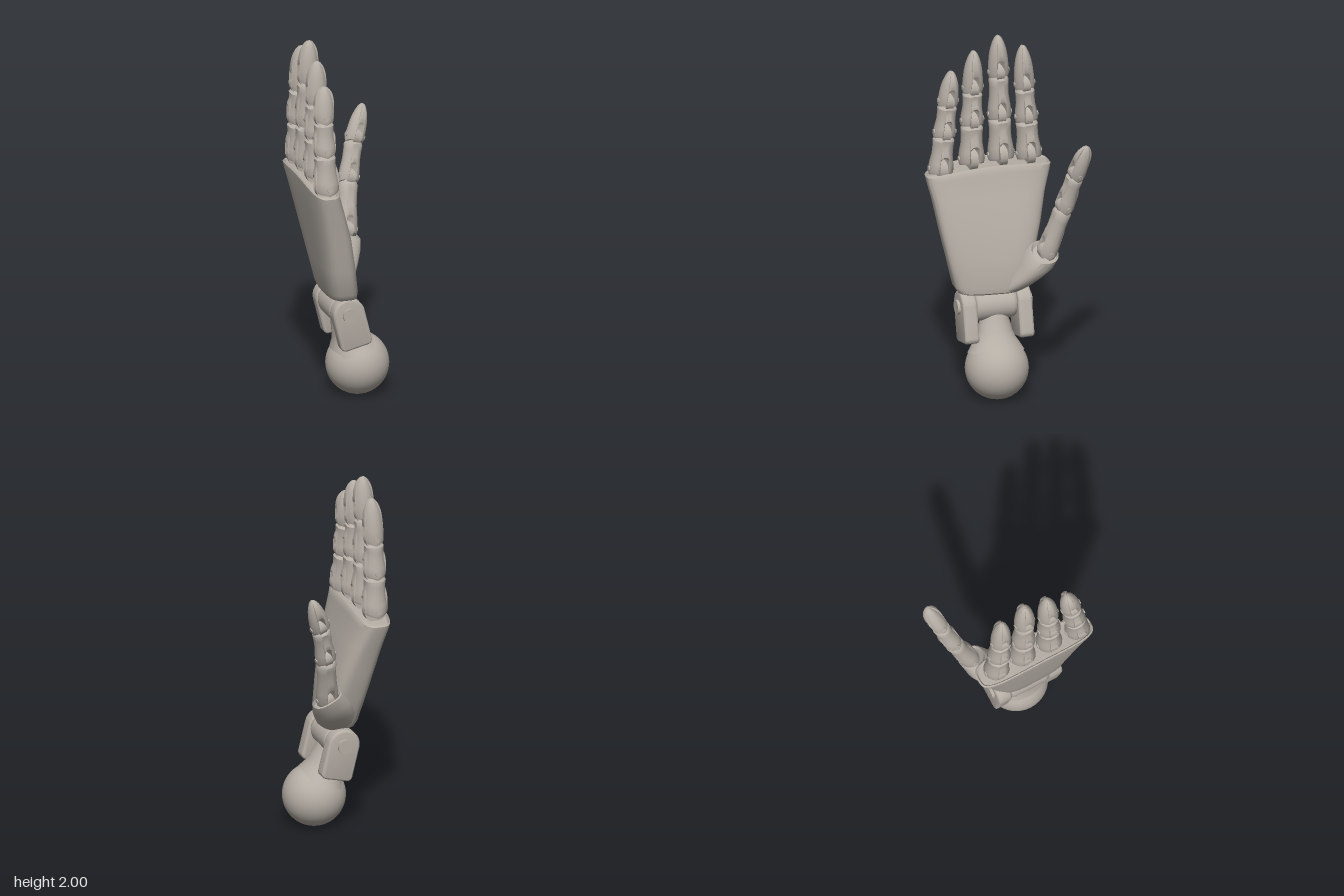
import * as THREE from 'three';
import { toCreasedNormals } from 'three/addons/utils/BufferGeometryUtils.js';

const shell = new THREE.MeshStandardMaterial({ color: 0xb5aea5, side: THREE.DoubleSide });
shell.name = 'warm grey';

const V = (x, y, z) => new THREE.Vector3(x, y, z);
const UP = V(0, 1, 0);

function mesh(name, geometry, parent) {
  const m = new THREE.Mesh(geometry, shell);
  m.name = name;
  parent.add(m);
  return m;
}

// Skin closed cross-sections; point(i, j) gives ring i, column j as [x, y, z]
function loft(rings, cols, point, crease = 0.7) {
  const pos = [], index = [];
  for (let i = 0; i < rings; i++) {
    for (let j = 0; j < cols; j++) {
      pos.push(...point(i, j));
      if (i === rings - 1) continue;
      const k = (j + 1) % cols;
      const a = i * cols + j, b = i * cols + k, c = b + cols, d = a + cols;
      index.push(a, b, c, a, c, d);
    }
  }
  const g = new THREE.BufferGeometry();
  g.setAttribute('position', new THREE.Float32BufferAttribute(pos, 3));
  g.setIndex(index);
  return toCreasedNormals(g, crease);
}

// Column angles with a sharp fork notch on two opposite sides
const half = [-90, -70, -50, -35, -24, -20, -8, 8, 20, 24, 35, 50, 70];
const columns = [...half, ...half.map((a) => a + 180)];
const forkBottom = (deg) => {
  const a = Math.abs(((deg + 90) % 180) - 90);
  if (a < 10) return 0.11;
  if (a < 22) return 0.095;
  return 0.02 * Math.cos(a * Math.PI / 180);
};

// Ring profiles: [fraction of length, radius factor, blend from base to end radius];
// the first ring is the roof of the fork
const BONE = [[0, 0, 0], [0, 0.62, 0], [0, 0.92, 0], [0.07, 1, 0], [0.3, 0.97, 0.2], [0.55, 0.92, 0.7],
  [0.8, 0.96, 1], [0.95, 1, 1], [1.01, 0.85, 1], [1.06, 0.5, 1], [1.07, 0, 1]];
const TIP = [[0, 0, 0], [0, 0.62, 0], [0, 0.92, 0], [0.08, 1, 0], [0.3, 0.96, 0], [0.5, 0.89, 0],
  [0.68, 0.76, 0], [0.83, 0.57, 0], [0.93, 0.37, 0], [0.98, 0.2, 0], [1, 0, 0]];

// One forked segment with the knuckle tongue and hinge pin inside its base
function segment(name, from, to, r0, r1, yaw, flat, tip) {
  const g = new THREE.Group();
  g.name = name;
  const dir = to.clone().sub(from), len = dir.length();
  g.position.copy(from);
  g.quaternion.setFromUnitVectors(UP, dir.normalize())
    .multiply(new THREE.Quaternion().setFromAxisAngle(UP, yaw));

  const profile = tip ? TIP : BONE;
  mesh(tip ? 'fingertip' : 'bone', loft(profile.length, columns.length, (i, j) => {
    const [t, f, blend] = profile[i];
    const a = columns[j] * Math.PI / 180, y0 = i ? forkBottom(columns[j]) : 0.098;
    const r = f * (r0 + (r1 - r0) * blend);
    return [r * flat * Math.cos(a), y0 + (len - y0) * t, -r * Math.sin(a)];
  }), g);

  const rt = r0 * flat * 0.9;
  const tongue = mesh('knuckleTongue', new THREE.CylinderGeometry(rt, rt, 0.042, 20), g);
  tongue.rotation.x = Math.PI / 2;
  tongue.position.y = 0.033;
  const pin = mesh('hingePin', new THREE.CylinderGeometry(0.014, 0.014, r0 * 2 + 0.004, 12), g);
  pin.rotation.x = Math.PI / 2;
  pin.position.y = 0.036;
  return g;
}

function finger(name, points, radii, yaw, flat) {
  const g = new THREE.Group();
  g.name = name;
  const p = points.map((q) => V(...q));
  ['lowerSegment', 'middleSegment', 'tipSegment'].forEach((part, i) =>
    g.add(segment(part, p[i], p[i + 1], radii[i], (radii[i + 1] ?? radii[i]) * 0.95, yaw, flat, i === 2)));
  return g;
}

const superPoint = (a, n) => [Math.cos(a), Math.sin(a)]
  .map((v) => Math.sign(v) * Math.pow(Math.abs(v), 2 / n));

// Palm: [y, x min, x max, z min, z max, top edge arch, squareness, palm-side skew]
function palm() {
  const rings = [
    [0.585, -0.03, -0.03, 0.08, 0.08, 0, 4, 0], [0.585, -0.1, 0.035, -0.07, 0.24, 0, 3.5, 0.02],
    [0.597, -0.125, 0.05, -0.09, 0.263, 0, 3.5, 0.025], [0.63, -0.14, 0.054, -0.11, 0.283, 0, 3.5, 0.03],
    [0.78, -0.17, 0.034, -0.165, 0.312, 0, 3.5, 0.03], [0.95, -0.205, 0, -0.212, 0.345, 0, 3.6, 0.025],
    [1.1, -0.238, -0.048, -0.252, 0.37, 0.3, 3.6, 0.018], [1.2, -0.26, -0.084, -0.29, 0.392, 0.8, 3.6, 0.014],
    [1.225, -0.264, -0.09, -0.296, 0.396, 1, 3.6, 0.014], [1.232, -0.258, -0.098, -0.288, 0.388, 1, 3.6, 0.014],
    [1.218, -0.25, -0.108, -0.279, 0.378, 1, 3.6, 0.014], [1.218, -0.18, -0.18, -0.15, 0.25, 1, 3.6, 0],
  ];
  return loft(rings.length, 56, (i, j) => {
    const [y, x0, x1, z0, z1, arch, n, skew] = rings[i];
    const [c, s] = superPoint(j / 56 * Math.PI * 2, n);
    const z = (z0 + z1) / 2 - s * (z1 - z0) / 2;
    const lift = arch * 0.04 * (1 - ((z - 0.03) / 0.38) ** 2);
    return [(x0 + x1) / 2 + c * (x1 - x0) / 2 + Math.max(c, 0) * s * skew, y + lift, z];
  });
}

// Thumb mount growing out of the palm's lower corner: [x, y, z, x radius, z radius, rim tilt]
function thumbMount() {
  const rings = [
    [-0.02, 0.592, -0.02, 0, 0, 0], [-0.02, 0.594, -0.02, 0.078, 0.062, 0],
    [0, 0.63, -0.055, 0.096, 0.075, 0], [0.02, 0.69, -0.105, 0.108, 0.086, 0.1],
    [0.055, 0.76, -0.152, 0.1, 0.088, 0.3], [0.091, 0.82, -0.183, 0.076, 0.076, 0.5],
    [0.092, 0.825, -0.185, 0.069, 0.069, 0.5], [0.092, 0.805, -0.185, 0.062, 0.062, 0.5],
    [0.092, 0.805, -0.185, 0, 0, 0.5],
  ];
  return loft(rings.length, 28, (i, j) => {
    const [x, y, z, rx, rz, tilt] = rings[i];
    const [c, s] = superPoint(j / 28 * Math.PI * 2, 2.4);
    return [x + c * rx, y - tilt * c * rx, z - s * rz];
  });
}

// Wrist: ball, neck, knuckle bar and two fork plates on a pin
function wrist() {
  const g = new THREE.Group();
  g.name = 'wrist';
  const ball = V(0.07, 0.175, 0.077), hinge = V(-0.03, 0.51, 0.065);
  mesh('ball', new THREE.SphereGeometry(0.172, 40, 28), g).position.copy(ball);

  const axis = hinge.clone().sub(ball);
  const neckProfile = [[0.135, 0.09], [0.112, 0.135], [0.095, 0.165], [0.083, 0.2], [0.077, 0.235],
    [0.068, 0.27], [0.06, 0.34]];
  const neck = mesh('neck', new THREE.LatheGeometry(neckProfile.map((p) => new THREE.Vector2(...p)), 32), g);
  neck.position.copy(ball);
  neck.quaternion.setFromUnitVectors(UP, axis.normalize());
  neck.scale.z = 1.15;

  const bar = [[0, -0.118], [0.07, -0.118], [0.083, -0.108], [0.088, -0.09],
    [0.088, 0.09], [0.083, 0.108], [0.07, 0.118], [0, 0.118]];
  const knuckle = mesh('knuckleBar', new THREE.LatheGeometry(bar.map((p) => new THREE.Vector2(...p)), 32), g);
  knuckle.rotation.x = Math.PI / 2;
  knuckle.position.copy(hinge);

  const s = new THREE.Shape();
  const w = 0.077, low = -0.186, c = 0.02;
  s.absarc(0, 0, w, 0, Math.PI, false);
  s.lineTo(-w, low + c);
  s.quadraticCurveTo(-w, low, -w + c, low);
  s.lineTo(w - c, low);
  s.quadraticCurveTo(w, low, w, low + c);
  const plate = toCreasedNormals(new THREE.ExtrudeGeometry(s, {
    depth: 0.052, bevelThickness: 0.014, bevelSize: 0.012, bevelSegments: 3, curveSegments: 20,
  }).translate(0, 0, -0.026), 0.6);
  for (const side of [-1, 1]) {
    const m = mesh('forkPlate', plate, g);
    m.position.set(hinge.x, hinge.y, hinge.z + side * 0.155);
    m.rotation.z = 0.24;
  }
  const pin = mesh('wristPin', new THREE.CylinderGeometry(0.04, 0.04, 0.42, 24), g);
  pin.rotation.x = Math.PI / 2;
  pin.position.copy(hinge);
  return g;
}

export function createModel() {
  const hand = new THREE.Group();
  hand.name = 'jointedHand';
  mesh('palm', palm(), hand);
  mesh('thumbMount', thumbMount(), hand);
  hand.add(wrist());

  // Fingers: joint heights, then sideways position at base and tip, then radii
  const fingers = [
    ['indexFinger', [1.262, 1.475, 1.665, 1.925], -0.185, -0.147, [0.07, 0.063, 0.056]],
    ['middleFinger', [1.275, 1.51, 1.755, 2.0], -0.027, -0.008, [0.073, 0.065, 0.057]],
    ['ringFinger', [1.27, 1.49, 1.68, 1.928], 0.14, 0.128, [0.072, 0.064, 0.057]],
    ['littleFinger', [1.232, 1.44, 1.62, 1.825], 0.316, 0.252, [0.069, 0.062, 0.056]],
  ];
  const depth = [-0.178, -0.183, -0.183, -0.174];
  for (const [name, ys, z0, z1, radii] of fingers) {
    const points = ys.map((y, i) => [depth[i], y, z0 + (z1 - z0) * (y - ys[0]) / (ys[3] - ys[0])]);
    hand.add(finger(name, points, radii, 0, 1));
  }
  hand.add(finger('thumb', [[0.092, 0.8, -0.188], [0.13, 1.07, -0.275], [0.178, 1.275, -0.327],
    [0.246, 1.475, -0.374]], [0.063, 0.059, 0.055], -Math.PI / 2 + 0.15, 0.88));
  return hand;
}
